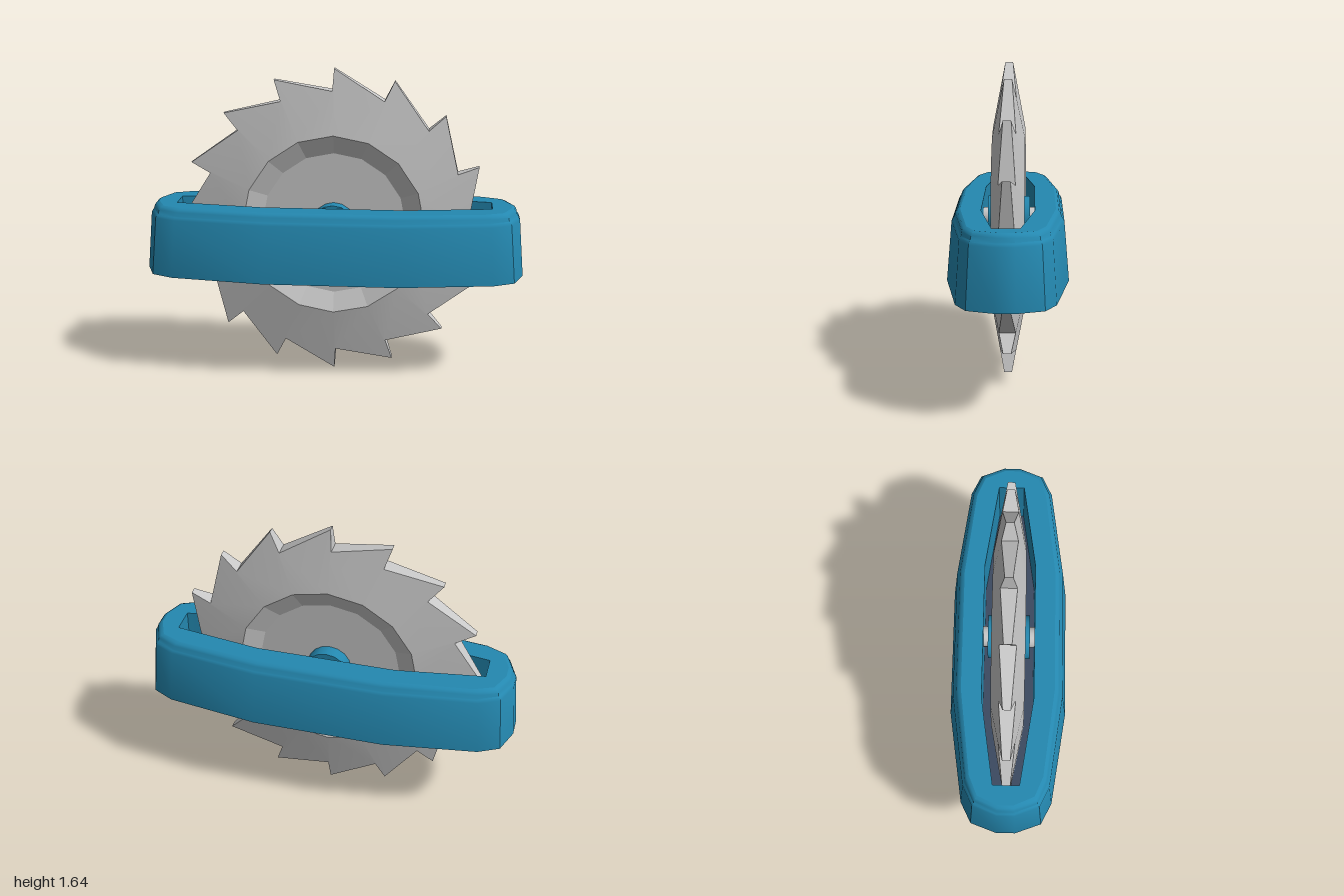
import * as THREE from 'three';
import { toCreasedNormals } from 'three/addons/utils/BufferGeometryUtils.js';

const steel = new THREE.MeshStandardMaterial({ color: 0xc8c8c8 });
steel.name = 'steel';
const blue = new THREE.MeshStandardMaterial({ color: 0x2488b0 });
blue.name = 'housingBlue';
const slate = new THREE.MeshStandardMaterial({ color: 0x3c4a60 });
slate.name = 'slotSlate';

const TEETH = 16, CENTER_Y = 0.82;

function geometryFrom(points, crease) {
  const g = new THREE.BufferGeometry().setFromPoints(points);
  g.computeVertexNormals();
  return toCreasedNormals(g, crease);
}

function add(group, name, geometry, material) {
  const m = new THREE.Mesh(geometry, material);
  m.name = name;
  group.add(m);
  return m;
}

// Toothed disc: bevelled outer band, sloped recess and flat hub plate on both sides
function bladeGeometry() {
  const tris = [];
  const step = (Math.PI * 2) / TEETH;
  const at = (r, a, z) => new THREE.Vector3(r * Math.sin(a), r * Math.cos(a), z);
  for (let k = 0; k < TEETH; k++) {
    const a = k * step, b = a + step, lag = 0.012;
    for (const s of [1, -1]) {
      const face = (...p) => tris.push(...(s > 0 ? p.reverse() : p));
      const tip = at(0.82, a, s * 0.02);
      const notch = at(0.705, a - lag, s * 0.042), nextNotch = at(0.705, b - lag, s * 0.042);
      const rim = at(0.48, a, s * 0.085), nextRim = at(0.48, b, s * 0.085);
      const dish = at(0.38, a, s * 0.04), nextDish = at(0.38, b, s * 0.04);
      face(rim, notch, tip);
      face(rim, tip, nextNotch);
      face(rim, nextNotch, nextRim);
      face(dish, rim, nextRim);
      face(dish, nextRim, nextDish);
      face(at(0, 0, s * 0.04), dish, nextDish);
    }
    // Cutting edge and back of the tooth
    const edge = (r1, a1, z1, r2, a2, z2) => {
      const p = at(r1, a1, z1), q = at(r2, a2, z2), P = at(r1, a1, -z1), Q = at(r2, a2, -z2);
      tris.push(p, q, Q, p, Q, P);
    };
    edge(0.705, a - lag, 0.042, 0.82, a, 0.02);
    edge(0.82, a, 0.02, 0.705, b - lag, 0.042);
  }
  return geometryFrom(tris, 0.15);
}

// Mirrors one quarter outline (x, z) into a closed loop
function mirrored(quarter) {
  const flip = (sx, sz) => quarter.map(([x, z]) => [x * sx, z * sz]);
  return [...flip(1, 1), ...flip(-1, 1).reverse(), ...flip(-1, -1), ...flip(1, -1).reverse()];
}

// Joins stacked loops of [x, y, z]; the outside faces outward unless inward is set
function loft(rings, inward) {
  const tris = [];
  for (let i = 0; i < rings.length - 1; i++) {
    const lo = rings[i], hi = rings[i + 1], n = lo.length;
    for (let j = 0; j < n; j++) {
      const k = (j + 1) % n;
      const [p, q, r, s] = [lo[j], lo[k], hi[k], hi[j]].map(v => new THREE.Vector3(...v));
      tris.push(...(inward ? [p, q, r, p, r, s] : [p, r, q, p, s, r]));
    }
  }
  return geometryFrom(tris, 0.65);
}

// Flat horizontal plate, facing up or down, with an optional hole
function plate(loop, y, up, hole) {
  const to2 = l => l.map(([x, z]) => new THREE.Vector2(x, up ? -z : z));
  const shape = new THREE.Shape(to2(loop));
  if (hole) shape.holes.push(new THREE.Path(to2(hole)));
  return new THREE.ShapeGeometry(shape).rotateX(up ? -Math.PI / 2 : Math.PI / 2).translate(0, y, 0);
}

export function createModel() {
  const model = new THREE.Group();
  model.name = 'sawTrap';

  // Housing
  const housing = new THREE.Group();
  housing.name = 'housing';
  model.add(housing);
  const outline = mirrored([[1, 0.05], [0.95, 0.185], [0.84, 0.24], [0.35, 0.31]]);
  const slot = mirrored([[0.83, 0.068], [0.37, 0.135]]);
  const inset = d => outline.map(([x, z]) => [x * (1 - d), z * (1 - d / 0.31)]);
  const layers = [[0.56, 0], [0.865, 0.025], [0.88, 0.033], [0.885, 0.038], [0.905, 0.043], [0.918, 0.053], [0.925, 0.068]];
  const rings = layers.map(([y, d]) => inset(d).map(([x, z]) => [x, y, z]));
  add(housing, 'housingShell', loft(rings, false), blue);
  add(housing, 'housingTop', plate(inset(0.068), 0.925, true, slot), blue);
  add(housing, 'housingBase', plate(outline, 0.56, false), blue);
  const slotRings = [0.57, 0.925].map(y => slot.map(([x, z]) => [x, y, z]));
  add(housing, 'slotWalls', loft(slotRings, true), blue);
  add(housing, 'slotFloor', plate(slot, 0.57, true), slate);

  // Saw blade with its hub and axle
  const saw = new THREE.Group();
  saw.name = 'saw';
  saw.position.y = CENTER_Y;
  model.add(saw);
  add(saw, 'blade', bladeGeometry(), steel);
  const rod = (r, len) => toCreasedNormals(new THREE.CylinderGeometry(r, r, len, 16).rotateX(Math.PI / 2), 0.6);
  add(saw, 'hub', rod(0.115, 0.22), blue);
  add(saw, 'axle', rod(0.055, 0.28), steel);
  return model;
}
